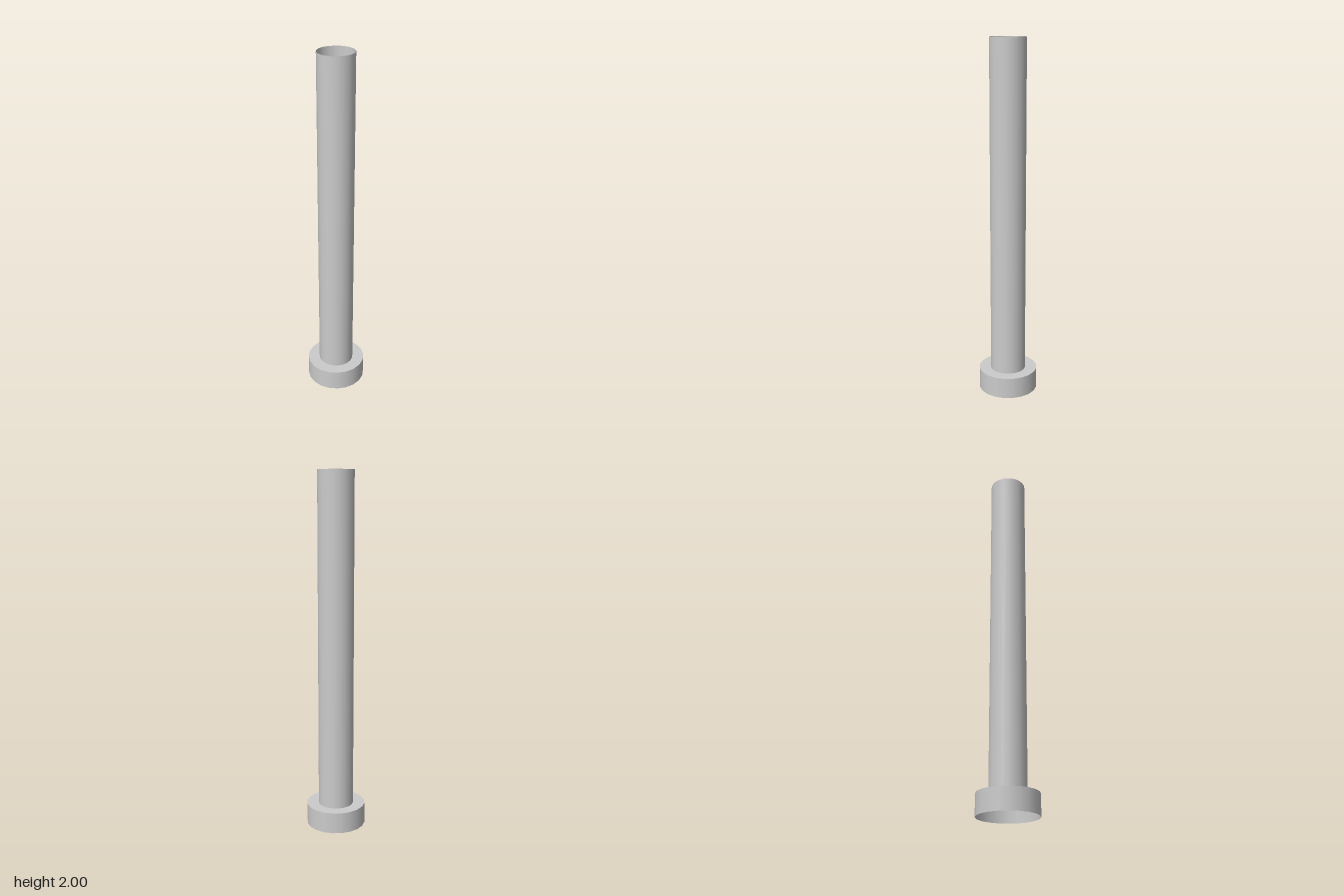
import * as THREE from 'three';

const SIDES = 20;
const material = new THREE.MeshStandardMaterial({ color: 0xcccccc, side: THREE.DoubleSide });

// Thin open wall between two heights
function wall(name, radius, y0, y1) {
  const geometry = new THREE.CylinderGeometry(radius, radius, y1 - y0, SIDES, 1, true);
  const mesh = new THREE.Mesh(geometry, material);
  mesh.name = name;
  mesh.position.y = (y0 + y1) / 2;
  return mesh;
}

// Flat horizontal ring facing up
function ring(name, inner, outer, y) {
  const geometry = new THREE.RingGeometry(inner, outer, SIDES, 1).rotateX(-Math.PI / 2);
  const mesh = new THREE.Mesh(geometry, material);
  mesh.name = name;
  mesh.position.y = y;
  return mesh;
}

export function createModel() {
  const group = new THREE.Group();
  group.name = 'collaredTube';

  const tubeRadius = 0.1, collarRadius = 0.167, collarHeight = 0.12;

  // Hollow collar, open underneath, with a flat shoulder
  group.add(wall('collarWall', collarRadius, 0, collarHeight));
  group.add(ring('collarShoulder', tubeRadius, collarRadius, collarHeight));

  // Long tube, open at both ends
  group.add(wall('tube', tubeRadius, collarHeight, 2));

  // Narrow stop lip inside the foot of the tube
  group.add(ring('innerLip', 0.083, tubeRadius, collarHeight + 0.015));

  return group;
}
